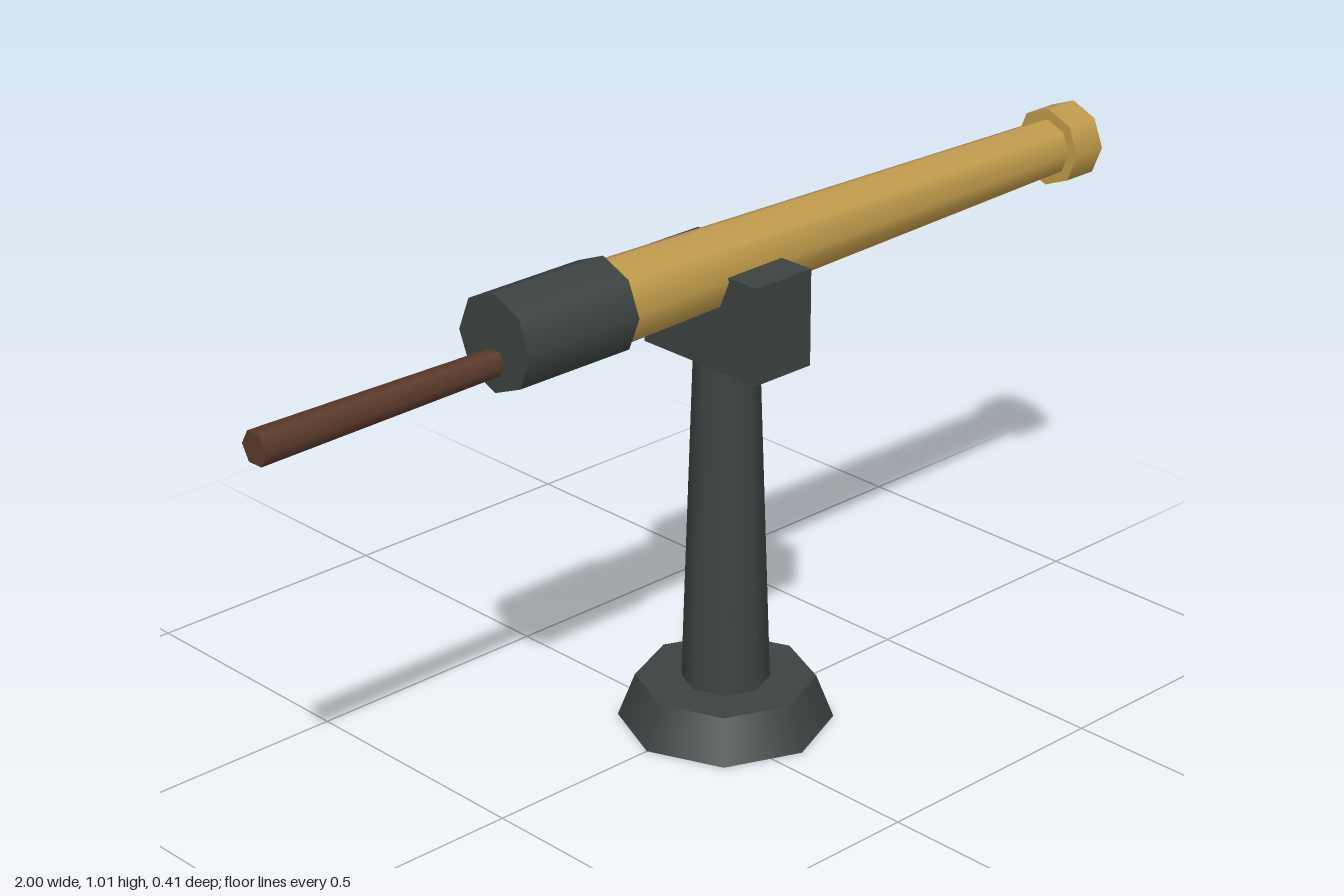
import * as THREE from 'three';

const material = (name, color) => {
  const m = new THREE.MeshStandardMaterial({ color });
  m.name = name;
  return m;
};

export function createModel() {
  const model = new THREE.Group();
  const iron = material('dark iron', 0x3c4342);
  const brass = material('brass', 0xc09b4b);
  const wood = material('brown wood', 0x5c3a2c);
  const black = material('bore black', 0x101010);
  const pivotX = 0.057;
  const axisY = 0.918;

  const add = (name, geometry, mat, x, y) => {
    const mesh = new THREE.Mesh(geometry, mat);
    mesh.name = name;
    mesh.position.set(x, y, 0);
    model.add(mesh);
    return mesh;
  };

  // Upright tapered part between two heights
  const upright = (name, y0, y1, r0, r1) =>
    add(name, new THREE.CylinderGeometry(r1, r0, y1 - y0, 8), iron, pivotX, (y0 + y1) / 2);

  // Lying tapered part between two x positions
  const lying = (name, mat, x0, x1, r0, r1, y = axisY, sides = 8) => {
    const geometry = new THREE.CylinderGeometry(r1, r0, x1 - x0, sides);
    geometry.rotateZ(-Math.PI / 2);
    return add(name, geometry, mat, (x0 + x1) / 2, y);
  };

  // Stand
  upright('base', 0, 0.085, 0.203, 0.17);
  upright('post', 0.085, 0.76, 0.083, 0.06);
  add('cradle', new THREE.BoxGeometry(0.136, 0.185, 0.288), iron, pivotX, 0.8325);

  // Gun
  lying('barrel', brass, -0.26, 0.95, 0.081, 0.055);
  lying('muzzleRing', brass, 0.917, 0.99, 0.077, 0.077);
  lying('bore', black, 0.95, 1.0, 0.042, 0.042);
  lying('breech', iron, -0.49, -0.24, 0.091, 0.091);
  lying('tillerHandle', wood, -1.0, -0.47, 0.032, 0.025, 0.884, 6);

  return model;
}
